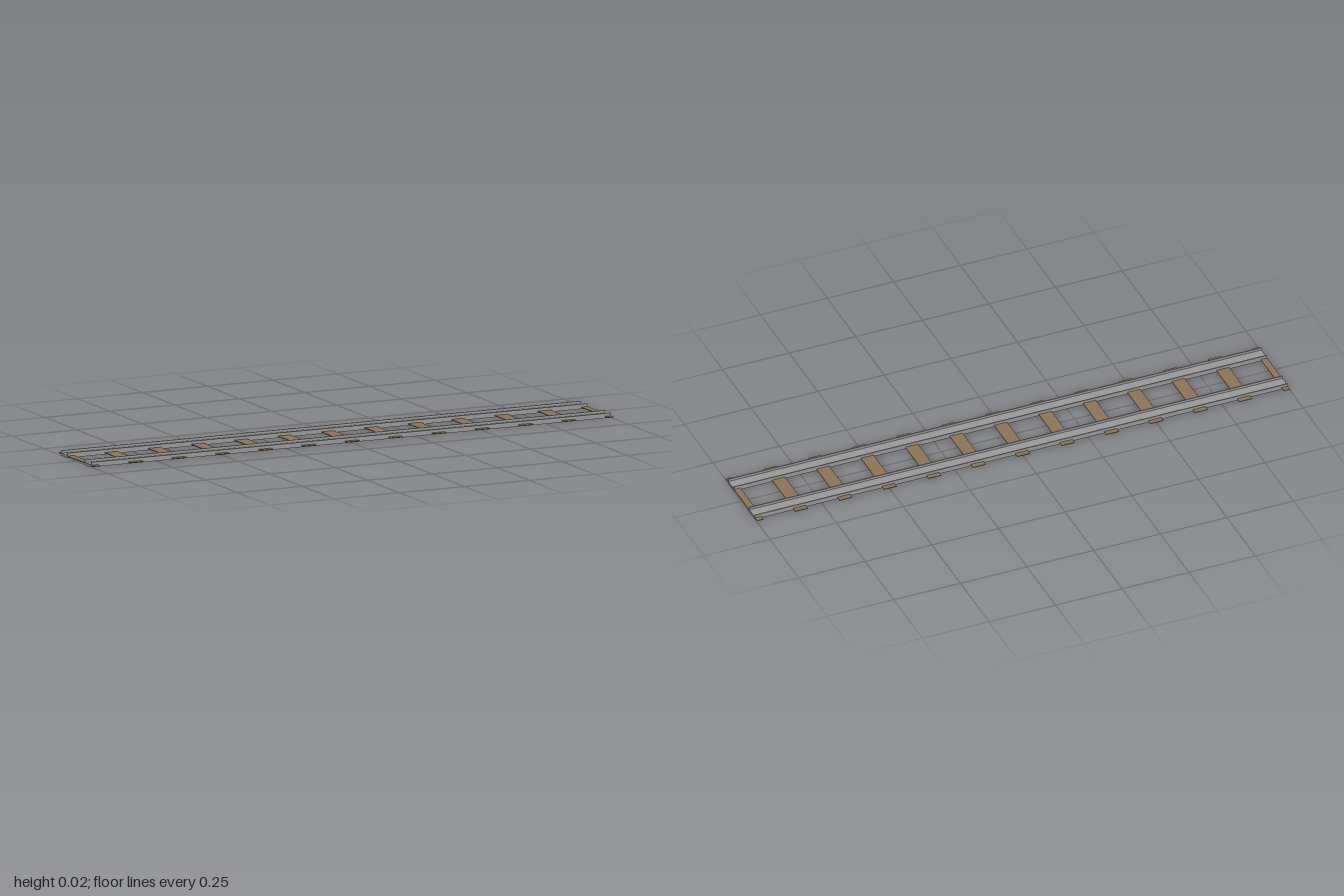
import * as THREE from 'three';

const LENGTH = 2;
const SLEEPERS = 13;

export function createModel() {
  const track = new THREE.Group();
  track.name = 'track';
  const steel = new THREE.MeshStandardMaterial({ color: 0x999999, flatShading: true });
  const wood = new THREE.MeshStandardMaterial({ color: 0x8c7456, flatShading: true });

  // U-shaped channel section: wide base with a thin lip on each edge
  const w = 0.0268, lip = 0.004, base = 0.008, top = 0.017;
  const section = new THREE.Shape([
    [-w, 0], [w, 0], [w, top], [w - lip, top],
    [w - lip, base], [lip - w, base], [lip - w, top], [-w, top],
  ].map(([x, y]) => new THREE.Vector2(x, y)));
  const railGeometry = new THREE.ExtrudeGeometry(section, { depth: LENGTH, bevelEnabled: false });
  railGeometry.translate(0, 0, -LENGTH / 2).rotateY(Math.PI / 2);

  // Two parallel rails
  for (const [name, z] of [['frontRail', 0.092], ['backRail', -0.092]]) {
    const rail = new THREE.Mesh(railGeometry, steel);
    rail.name = name;
    rail.position.z = z;
    track.add(rail);
  }

  // Evenly spaced thin sleepers, the end ones cut in half at the track ends
  const width = 0.048;
  const sleepers = new THREE.Group();
  sleepers.name = 'sleepers';
  for (let i = 0; i < SLEEPERS; i++) {
    const x = -LENGTH / 2 + (i * LENGTH) / (SLEEPERS - 1);
    const x0 = Math.max(x - width / 2, -LENGTH / 2);
    const x1 = Math.min(x + width / 2, LENGTH / 2);
    const sleeper = new THREE.Mesh(new THREE.BoxGeometry(x1 - x0, 0.0025, 0.275), wood);
    sleeper.name = 'sleeper';
    sleeper.position.set((x0 + x1) / 2, 0.0055, 0);
    sleepers.add(sleeper);
  }
  track.add(sleepers);
  return track;
}
